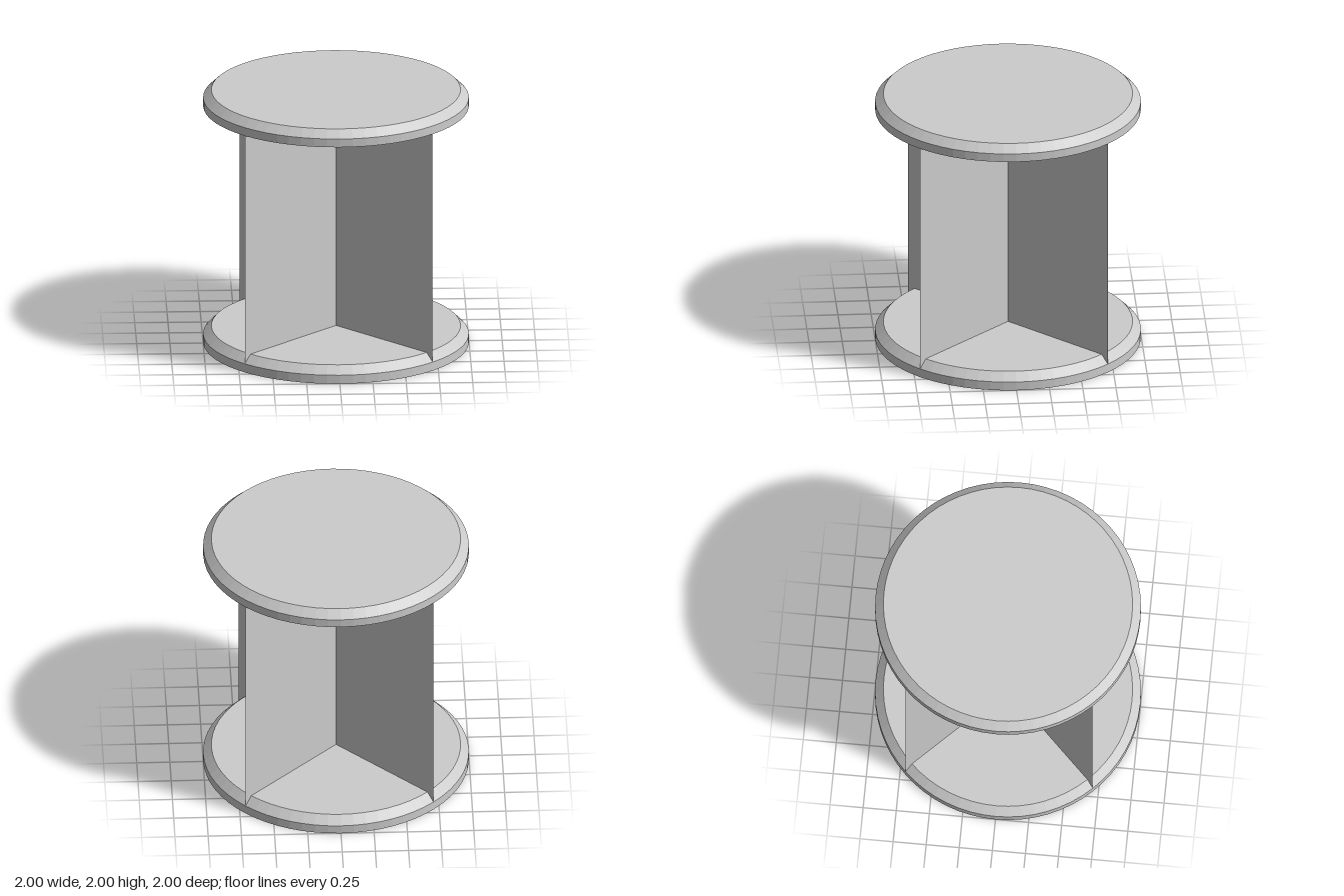
import * as THREE from 'three';

export function createModel() {
  const model = new THREE.Group();
  model.name = 'spool';
  const plateMaterial = new THREE.MeshStandardMaterial({ color: 0xcccccc, flatShading: true });
  const panelMaterial = new THREE.MeshStandardMaterial({ color: 0xcccccc, side: THREE.DoubleSide });

  const radius = 1, rimHeight = 0.065, plateHeight = 0.13, topY = 1.875;

  // Round end plates with a bevelled upper edge
  const profile = [
    [0, 0], [radius, 0], [radius, rimHeight], [radius - 0.0625, plateHeight - 0.005], [0, plateHeight - 0.005],
  ].map(([x, y]) => new THREE.Vector2(x, y));
  const plateGeometry = new THREE.LatheGeometry(profile, 64);
  for (const [name, y, height] of [['bottomPlate', 0, 0.13], ['topPlate', topY, 0.125]]) {
    const plate = new THREE.Mesh(plateGeometry, plateMaterial);
    plate.name = name;
    plate.position.y = y;
    plate.scale.y = height / 0.125;
    model.add(plate);
  }

  // Two thin upright panels crossing on the diagonals
  const panelHeight = topY - rimHeight;
  const panelGeometry = new THREE.PlaneGeometry(radius * 2, panelHeight);
  for (const side of [1, -1]) {
    const panel = new THREE.Mesh(panelGeometry, panelMaterial);
    panel.name = side > 0 ? 'crossPanelA' : 'crossPanelB';
    panel.position.y = rimHeight + panelHeight / 2;
    panel.rotation.y = side * Math.PI / 4;
    model.add(panel);
  }
  return model;
}
